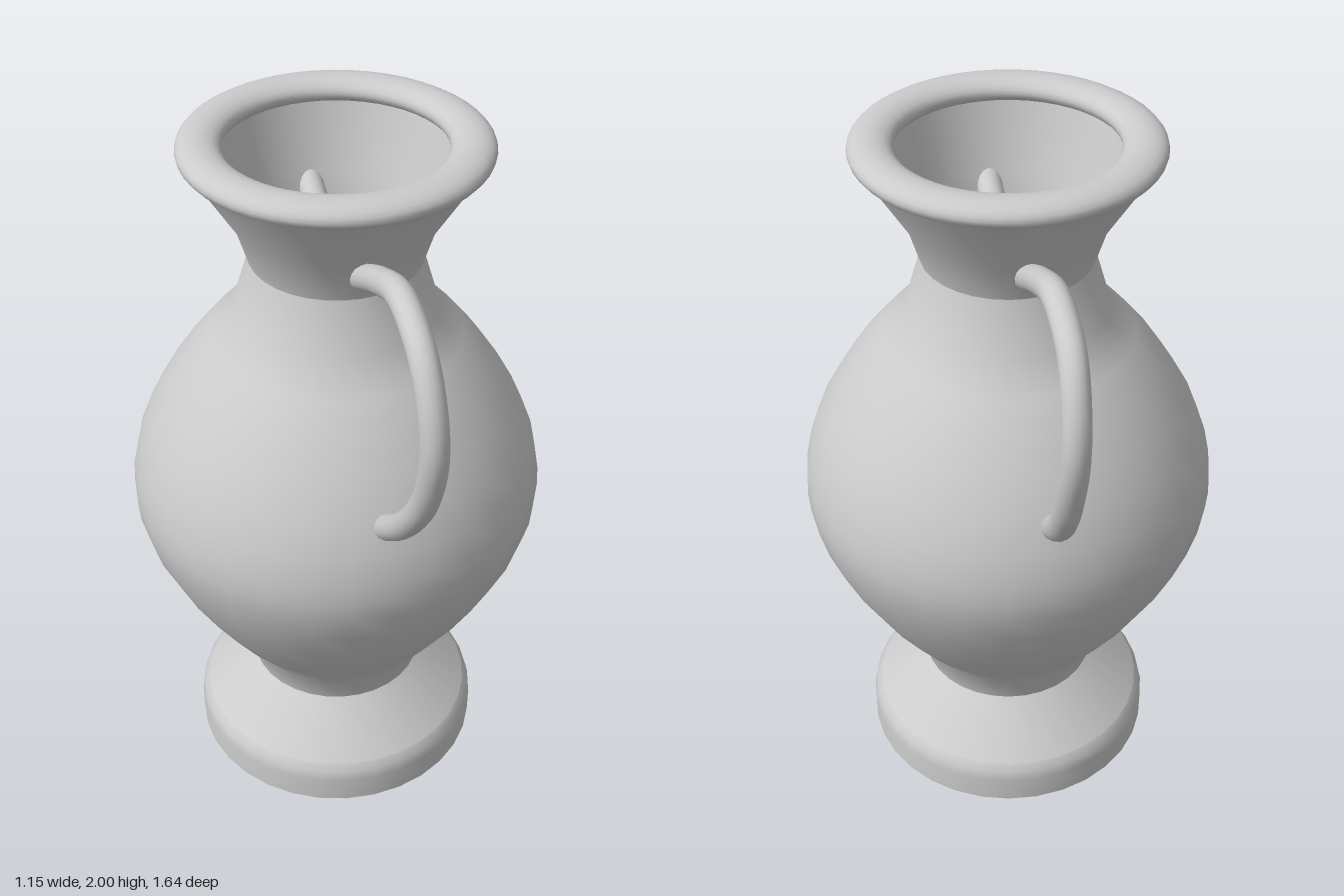
import * as THREE from 'three';

const material = new THREE.MeshStandardMaterial({ color: 0xcccccc, side: THREE.DoubleSide });

// Turns a profile of [radius, height] pairs, outer side listed upwards
function turned(name, profile, segments = 32) {
  const points = profile.map(([r, y]) => new THREE.Vector2(r, y));
  const mesh = new THREE.Mesh(new THREE.LatheGeometry(points, segments), material);
  mesh.name = name;
  return mesh;
}

// One looping handle with closed ends; side is +1 for front, -1 for back
function handle(name, side) {
  const group = new THREE.Group();
  group.name = name;
  const path = [
    [0, 1.70, 0.19], [0, 1.74, 0.27], [0, 1.80, 0.39], [0, 1.848, 0.54],
    [0, 1.80, 0.69], [0.004, 1.70, 0.762], [0.008, 1.57, 0.786],
    [0.008, 1.40, 0.735], [-0.003, 1.255, 0.635], [-0.012, 1.16, 0.53], [-0.013, 1.135, 0.49],
  ].map(([x, y, z]) => new THREE.Vector3(x, y, z * side));
  const curve = new THREE.CatmullRomCurve3(path);
  const radius = 0.035;
  group.add(new THREE.Mesh(new THREE.TubeGeometry(curve, 48, radius, 16), material));
  for (const t of [0, 1]) {
    const cap = new THREE.Mesh(new THREE.CircleGeometry(radius, 16), material);
    const out = curve.getTangent(t).multiplyScalar(t ? 1 : -1);
    cap.position.copy(curve.getPoint(t));
    cap.quaternion.setFromUnitVectors(new THREE.Vector3(0, 0, 1), out);
    group.add(cap);
  }
  return group;
}

export function createModel() {
  const model = new THREE.Group();
  model.name = 'vase';

  // Foot: flat underside, short wall and sloping top
  model.add(turned('footUnderside', [[0, 0], [0.425, 0]]));
  model.add(turned('footWall', [[0.425, 0], [0.425, 0.08], [0.418, 0.11], [0.403, 0.13]]));
  model.add(turned('footSlope', [[0.403, 0.13], [0.255, 0.265]]));

  // Swelling body
  model.add(turned('body', [
    [0.255, 0.265], [0.28, 0.36], [0.36, 0.462], [0.43, 0.565], [0.495, 0.68],
    [0.545, 0.79], [0.57, 0.88], [0.575, 0.94], [0.572, 1.0], [0.555, 1.08],
    [0.52, 1.17], [0.47, 1.26], [0.41, 1.35], [0.345, 1.43], [0.275, 1.505], [0.23, 1.655],
  ]));

  // Flared neck and the tapering hollow inside it
  model.add(turned('neck', [[0.23, 1.655], [0.262, 1.76], [0.37, 1.935]]));
  model.add(turned('hollow', [[0.30, 1.945], [0.25, 1.76], [0.215, 1.655], [0.115, 0.9]].reverse()
    .reverse()));
  model.add(turned('hollowFloor', [[0.115, 0.9], [0, 0.9]]));

  // Rounded rim with an oval section
  const oval = [];
  for (let i = 0; i <= 20; i++) {
    const a = -Math.PI / 2 + (i / 20) * Math.PI * 2;
    oval.push([0.342 + 0.058 * Math.cos(a), 1.965 + 0.035 * Math.sin(a)]);
  }
  model.add(turned('rim', oval, 48));

  model.add(handle('frontHandle', 1), handle('backHandle', -1));
  return model;
}
